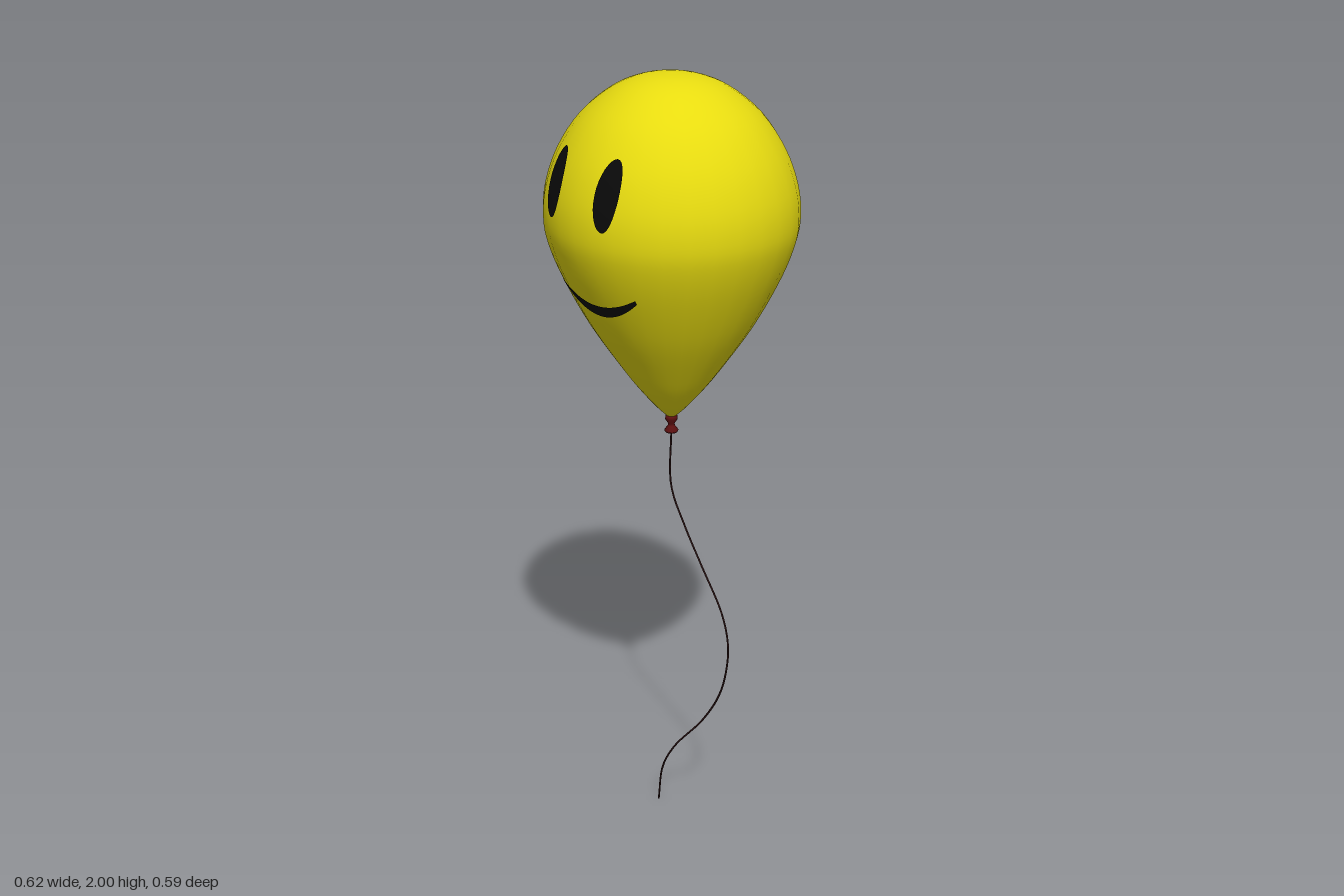
import * as THREE from 'three';

const material = (name, color, side = THREE.FrontSide) => {
  const m = new THREE.MeshStandardMaterial({ color, side });
  m.name = name;
  return m;
};

// Balloon outline (radius, height), from the neck up to the crown
const outline = new THREE.SplineCurve([
  [0.008, 1.15], [0.035, 1.175], [0.075, 1.22], [0.12, 1.278], [0.2, 1.395], [0.262, 1.51],
  [0.298, 1.6], [0.309, 1.665], [0.301, 1.74], [0.27, 1.824], [0.215, 1.904],
  [0.14, 1.964], [0.07, 1.992], [0, 2],
].map(([r, y]) => new THREE.Vector2(r, y))).getPoints(52);
outline[outline.length - 1].set(0, 2);

// Front and back are slightly flattened
const flatten = (z, r) => (r > 0 ? z * (1 - 0.05 * (z / r) ** 4) : 0);

function radiusAt(y) {
  for (let i = 1; i < outline.length; i++) {
    const a = outline[i - 1], b = outline[i];
    if (y <= b.y) return a.x + (b.x - a.x) * (y - a.y) / (b.y - a.y);
  }
  return 0;
}

function surfaceZ(x, y) {
  const r = radiusAt(y);
  return flatten(Math.sqrt(Math.max(0, r * r - x * x)), r);
}

// Thin painted patch following the balloon; shape(u, v) gives x and y
function patch(name, mat, shape, nu, nv, dy) {
  const g = new THREE.PlaneGeometry(1, 1, nu, nv);
  const p = g.attributes.position;
  for (let i = 0; i < p.count; i++) {
    const [x, y0] = shape(p.getX(i) + 0.5, p.getY(i) + 0.5);
    const y = y0 + dy;
    p.setXYZ(i, x, y, surfaceZ(x, y) + 0.003);
  }
  g.computeVertexNormals();
  const mesh = new THREE.Mesh(g, mat);
  mesh.name = name;
  return mesh;
}

export function createModel() {
  const yellow = material('balloonYellow', 0xeade10);
  const black = material('faceBlack', 0x0a0a0a, THREE.DoubleSide);
  const red = material('knotRed', 0x5c1010, THREE.DoubleSide);
  const dark = material('stringDark', 0x2c1414);
  const model = new THREE.Group();
  model.name = 'balloonOnString';
  const add = (name, geometry, mat) => {
    const mesh = new THREE.Mesh(geometry, mat);
    mesh.name = name;
    model.add(mesh);
  };

  // Balloon body
  const body = new THREE.LatheGeometry(outline, 32);
  const p = body.attributes.position;
  for (let i = 0; i < p.count; i++) {
    p.setZ(i, flatten(p.getZ(i), Math.hypot(p.getX(i), p.getZ(i))));
  }
  add('balloon', body, yellow);

  // Smiling face on the front, repeated a little lower on the back
  const eye = (cx) => (u, v) => {
    const a = (u - 0.5) * Math.PI;
    return [cx + 0.032 * Math.sin(a), 1.767 + 0.08 * Math.cos(a) * (2 * v - 1)];
  };
  const mouth = (u, v) => {
    const t = 2 * u - 1;
    const half = 0.005 + 0.009 * (1 - t * t);
    return [0.01 + 0.128 * t, 1.477 + 0.047 * t * t + half * (2 * v - 1)];
  };
  for (const [side, dy, turn] of [['front', 0, 0], ['back', -0.038, Math.PI]]) {
    const face = new THREE.Group();
    face.name = side + 'Face';
    face.add(
      patch('rightEye', black, eye(-0.097), 16, 12, dy),
      patch('leftEye', black, eye(0.089), 16, 12, dy),
      patch('mouth', black, mouth, 24, 3, dy),
    );
    face.rotation.y = turn;
    model.add(face);
  }

  // Pinched knot under the neck
  const knot = [[0.004, 1.16], [0.015, 1.152], [0.016, 1.144], [0.008, 1.132],
    [0.009, 1.126], [0.018, 1.114], [0.015, 1.109], [0, 1.114]];
  add('knot', new THREE.LatheGeometry(
    knot.map(([r, y]) => new THREE.Vector2(r, y)).reverse(), 12), red);

  // Wavy string hanging in the front plane
  const path = new THREE.CatmullRomCurve3([
    [0, 1.12], [0, 0.96], [0.05, 0.87], [0.115, 0.78], [0.192, 0.675], [0.217, 0.6],
    [0.215, 0.53], [0.19, 0.44], [0.127, 0.335], [0.01, 0.195], [-0.037, 0.108], [-0.053, 0],
  ].map(([x, y]) => new THREE.Vector3(x, y, 0)));
  add('string', new THREE.TubeGeometry(path, 60, 0.0025, 6), dark);

  return model;
}
